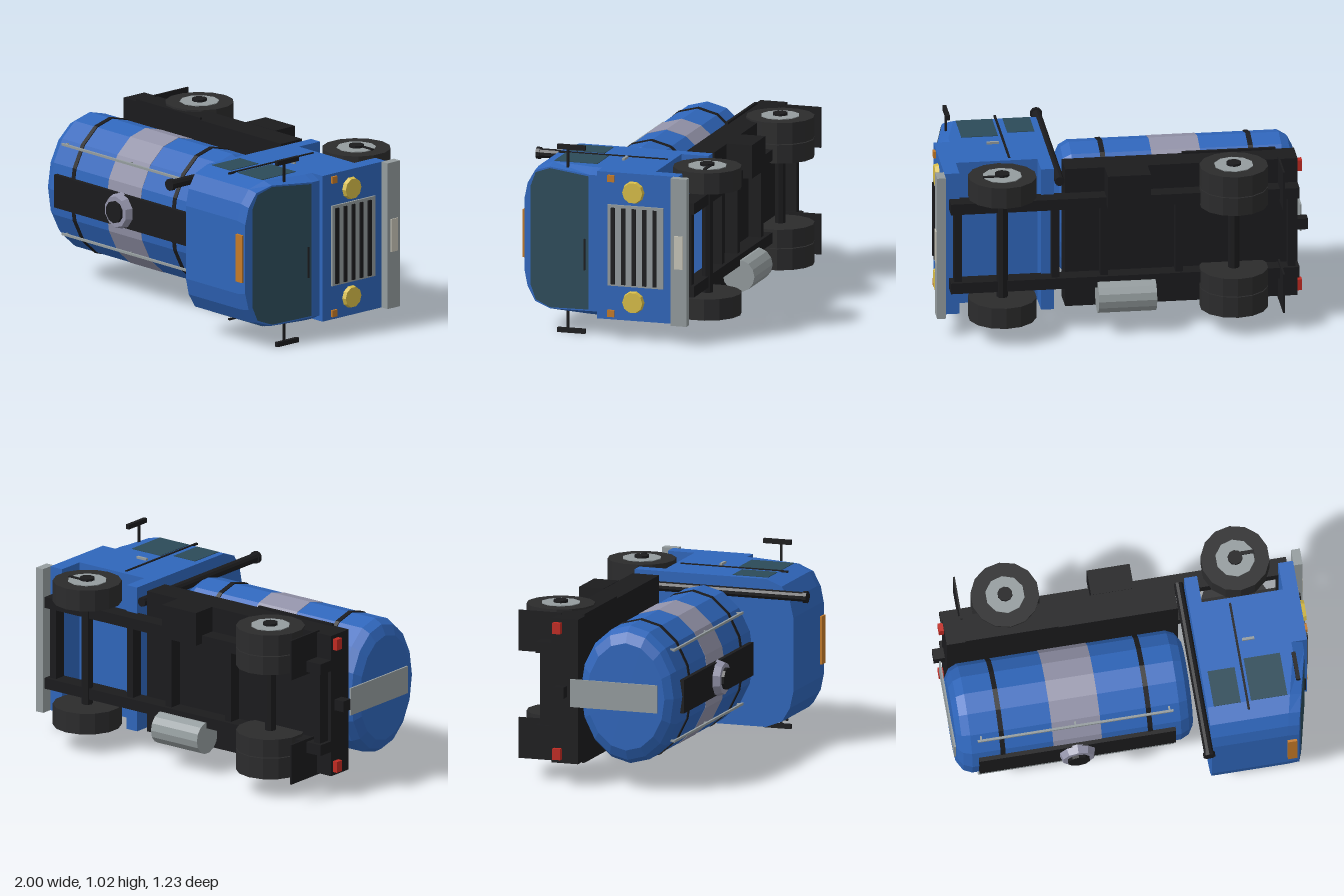
import * as THREE from 'three';

// Tank truck resting on its side: nose along +x, roof along +z, width along y.
const mat = (color, extra = {}) => new THREE.MeshStandardMaterial({ color, flatShading: true, ...extra });
const blue = mat(0x2f66bb), black = mat(0x1b1b1d), tyre = mat(0x2b2b2c), steel = mat(0x949c9e);
const lavender = mat(0x9292a8), orange = mat(0xc47a28), yellow = mat(0xd8bd48), red = mat(0xc02a22);
const cream = mat(0xc8c5b8), glass = mat(0x2c4a58, { side: THREE.DoubleSide });

export function createModel() {
  const model = new THREE.Group();
  model.position.y = 0.51;
  const root = new THREE.Group();
  root.name = 'tankTruck';
  model.add(root);

  const add = (name, geo, material, x = 0, y = 0, z = 0) => {
    const mesh = new THREE.Mesh(geo, material);
    mesh.name = name;
    mesh.position.set(x, y, z);
    root.add(mesh);
    return mesh;
  };
  // Box given by its limits on each axis
  const box = (name, material, x0, x1, y0, y1, z0, z1) =>
    add(name, new THREE.BoxGeometry(x1 - x0, y1 - y0, z1 - z0), material,
      (x0 + x1) / 2, (y0 + y1) / 2, (z0 + z1) / 2);
  // The same box on both sides of the truck
  const pair = (name, material, x0, x1, y0, y1, z0, z1) => {
    box(name, material, x0, x1, y0, y1, z0, z1);
    box(name, material, x0, x1, -y1, -y0, z0, z1);
  };
  // Cylinder along a chosen axis
  const cyl = (name, material, axis, r0, r1, length, sides, x, y, z) => {
    const geo = new THREE.CylinderGeometry(r1, r0, length, sides);
    if (axis === 'x') geo.rotateZ(-Math.PI / 2);
    if (axis === 'z') geo.rotateX(Math.PI / 2);
    return add(name, geo, material, x, y, z);
  };

  // Chassis
  box('deck', black, -0.94, 0.30, -0.39, 0.39, -0.36, -0.21);
  pair('chassisRail', black, -0.94, 0.92, 0.195, 0.255, -0.45, -0.355);
  for (const x of [-0.9, -0.3, 0.1, 0.36, 0.88])
    box('crossMember', black, x - 0.02, x + 0.02, -0.2, 0.2, -0.43, -0.36);
  pair('rearFender', black, -0.84, -0.34, 0.16, 0.402, -0.225, -0.21);
  pair('mudFlap', black, -0.845, -0.835, 0.18, 0.40, -0.58, -0.34);
  pair('tailLight', red, -0.967, -0.94, 0.31, 0.37, -0.345, -0.30);
  box('towHitch', black, -1.0, -0.94, -0.03, 0.03, -0.33, -0.27);
  box('batteryBox', black, -0.14, 0.09, 0.21, 0.392, -0.50, -0.36);
  cyl('fuelTank', steel, 'x', 0.088, 0.088, 0.31, 14, -0.015, -0.31, -0.443);

  // Wheels, doubled at the rear
  for (const x of [-0.59, 0.645]) {
    cyl('axle', black, 'y', 0.03, 0.03, 0.7, 8, x, 0, -0.435);
    for (const s of [-1, 1]) {
      cyl('outerTyre', tyre, 'y', 0.183, 0.183, 0.115, 14, x, s * 0.3425, -0.435);
      if (x < 0) cyl('innerTyre', tyre, 'y', 0.183, 0.183, 0.1, 14, x, s * 0.23, -0.435);
      cyl('wheelRim', steel, 'y', 0.105, 0.105, 0.012, 10, x, s * 0.398, -0.435);
      cyl('hubCap', black, 'y', 0.04, 0.04, 0.03, 10, x, s * 0.402, -0.435);
      if (x > 0) box('steeringArm', black, x, x + 0.105, s * 0.405 - 0.004, s * 0.405 + 0.004, -0.465, -0.445);
    }
  }

  // Tank: stretched lathe with rounded ends
  const tankPart = (name, geo, material, x) => {
    geo.rotateZ(-Math.PI / 2);
    geo.scale(1, 0.372, 0.28);
    return add(name, geo, material, x, 0, 0.07);
  };
  const dome = [[0, 0.635], [0.78, 0.632], [0.93, 0.605], [1, 0.56]];
  const profile = [...dome.map(([r, h]) => [r, -h]), ...dome.slice().reverse()]
    .map(([r, h]) => new THREE.Vector2(r, h));
  tankPart('tank', new THREE.LatheGeometry(profile, 16), blue, -0.335);
  tankPart('tankStripe', new THREE.CylinderGeometry(1.006, 1.006, 0.26, 16), lavender, -0.33);
  for (const x of [-0.73, 0.06])
    tankPart('tankStrap', new THREE.CylinderGeometry(1.014, 1.014, 0.026, 16), black, x);
  box('walkway', black, -0.86, 0.195, -0.09, 0.09, 0.335, 0.36);
  cyl('manhole', lavender, 'z', 0.1, 0.085, 0.045, 10, -0.335, 0, 0.375);
  cyl('manholeLid', black, 'z', 0.06, 0.06, 0.02, 10, -0.335, 0, 0.403);
  pair('handRail', steel, -0.86, 0.19, 0.24, 0.252, 0.295, 0.307);
  for (const x of [-0.84, -0.335, 0.17])
    pair('railPost', steel, x - 0.005, x + 0.005, 0.241, 0.251, 0.25, 0.3);
  box('rearLadder', steel, -0.978, -0.968, -0.075, 0.075, -0.24, 0.25);

  // Exhaust stack
  cyl('exhaustStack', black, 'z', 0.026, 0.026, 0.97, 10, 0.33, 0.325, 0.115);
  cyl('exhaustCap', black, 'z', 0.033, 0.033, 0.022, 10, 0.33, 0.325, 0.606);

  // Lower cab, cut through above the front wheels
  const side = new THREE.Shape([[0.36, -0.37], [0.43, -0.37], [0.43, -0.22], [0.865, -0.22],
    [0.865, -0.37], [0.945, -0.37], [0.945, 0.08], [0.36, 0.08]].map(p => new THREE.Vector2(...p)));
  const lower = new THREE.ExtrudeGeometry(side, { depth: 0.8, bevelEnabled: false });
  lower.translate(0, 0, -0.4);
  lower.rotateX(Math.PI / 2);
  add('lowerCab', lower, blue);

  // Upper cab: rings of [height, half width, corner chamfer], nose leaning back
  const noseX = z => 0.92 - 0.236 * Math.max(0, z - 0.13);
  const rings = [[0.08, 0.4, 0.03], [0.13, 0.4, 0.03], [0.37, 0.4, 0.015], [0.46, 0.365, 0.01],
    [0.505, 0.29, 0.01], [0.525, 0.2, 0.01]];
  const pos = [], index = [];
  rings.forEach(([z, h, d], k) => {
    const f = noseX(z), b = f - 0.06;
    for (const [x, y] of [[0.36, -h], [b, -h], [f, d - h], [f, h - d], [b, h], [0.36, h]]) pos.push(x, y, z);
    if (k === 0) return;
    for (let i = 0; i < 6; i++) {
      const a = (k - 1) * 6 + i, n = (k - 1) * 6 + (i + 1) % 6;
      index.push(a, n, n + 6, a, n + 6, a + 6);
    }
  });
  const top = (rings.length - 1) * 6;
  for (let i = 1; i < 5; i++) index.push(top, top + i, top + i + 1);
  const upper = new THREE.BufferGeometry();
  upper.setAttribute('position', new THREE.Float32BufferAttribute(pos, 3));
  upper.setIndex(index);
  upper.computeVertexNormals();
  add('upperCab', upper, blue);

  // Windshield laid on the sloping nose
  const half = [[0.362, 0.137], [0.378, 0.37], [0.345, 0.455], [0.27, 0.485]];
  const pane = new THREE.ShapeGeometry(new THREE.Shape(
    [...half, ...half.slice().reverse().map(([y, z]) => [-y, z])].map(p => new THREE.Vector2(...p))));
  const p = pane.attributes.position;
  for (let i = 0; i < p.count; i++) {
    const y = p.getX(i), z = p.getY(i);
    p.setXYZ(i, noseX(z) + 0.004, y, z);
  }
  pane.computeVertexNormals();
  add('windshield', pane, glass);
  box('wiper', black, 0.916, 0.924, -0.15, 0.02, 0.155, 0.162);

  // Cab sides
  pair('rearSideWindow', glass, 0.395, 0.54, 0.39, 0.403, 0.17, 0.37);
  pair('doorWindow', glass, 0.595, 0.79, 0.39, 0.403, 0.13, 0.37);
  pair('doorSeam', black, 0.57, 0.582, 0.395, 0.405, -0.19, 0.415);
  pair('doorHandle', steel, 0.605, 0.67, 0.4, 0.412, 0.018, 0.032);
  pair('mirrorArm', black, 0.85, 0.86, 0.38, 0.49, 0.267, 0.28);
  pair('mirror', black, 0.845, 0.866, 0.485, 0.51, 0.175, 0.33);
  box('roofMarker', orange, 0.765, 0.815, -0.13, 0.13, 0.5, 0.538);

  // Front
  box('bumper', steel, 0.945, 0.992, -0.4, 0.4, -0.432, -0.343);
  box('numberPlate', cream, 0.99, 0.998, -0.09, 0.09, -0.412, -0.364);
  box('grille', steel, 0.94, 0.956, -0.215, 0.225, -0.29, 0.02);
  for (let i = 0; i < 5; i++) {
    const z = -0.012 - i * 0.058;
    box('grilleBar', black, 0.95, 0.964, -0.205, 0.21, z - 0.011, z + 0.011);
  }
  for (const s of [-1, 1])
    cyl('headlight', yellow, 'x', 0.062, 0.056, 0.025, 10, 0.955, s * 0.298, -0.122);
  pair('turnSignal', orange, 0.94, 0.958, 0.348, 0.385, -0.017, 0.02);

  return model;
}
